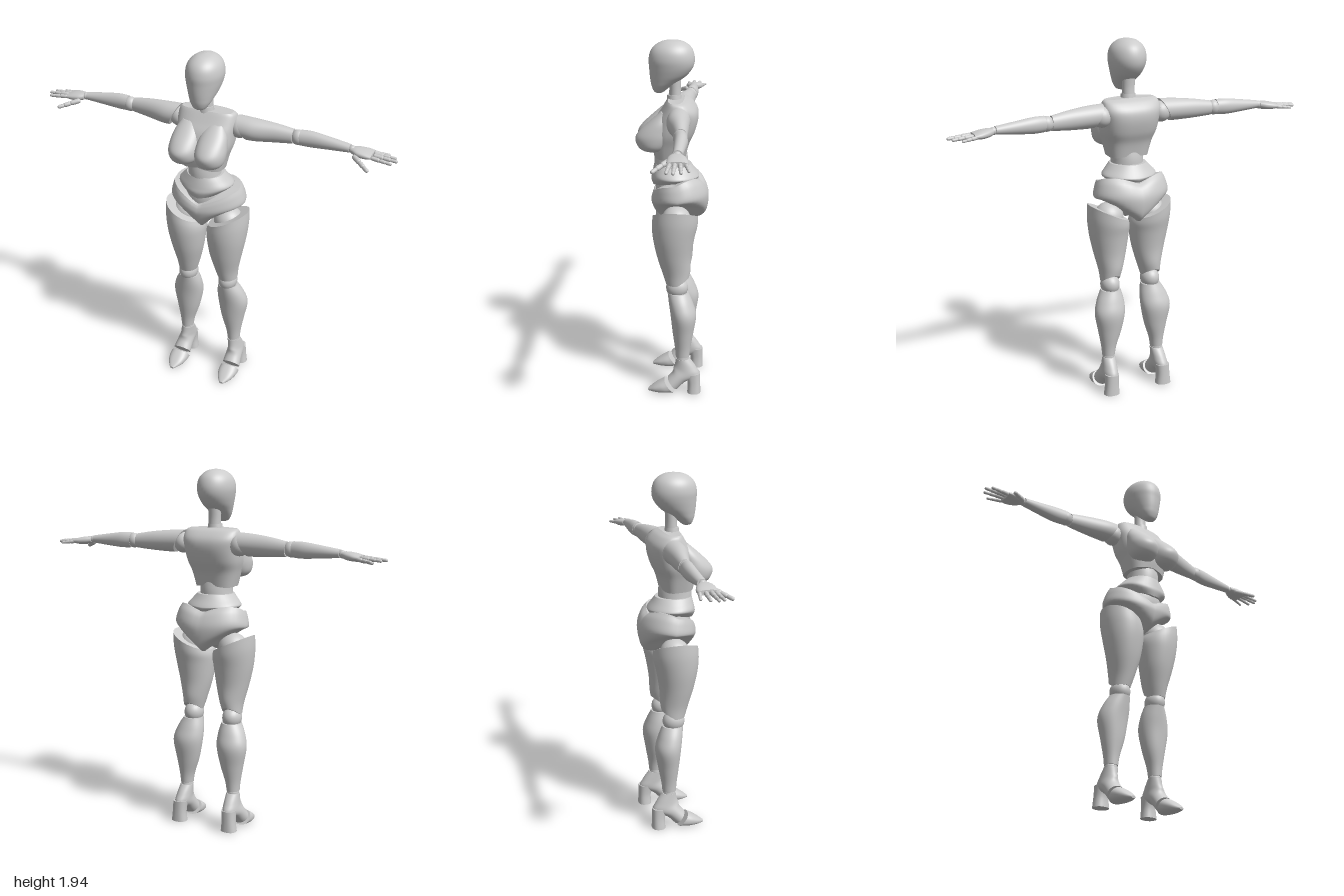
import * as THREE from 'three';

const material = new THREE.MeshStandardMaterial({ color: 0xcccccc });

// Smooth skin through elliptical cross-sections, listed from bottom to top.
// Section: [y, cx, cz, rx, rz, side, back, tilt]
//   side / back raise the ring's edge there, tilt turns it about x.
//   fold raises both sides alike, power < 1 makes the rings squarer.
function loft(sections, { fold = false, power = 1, seg = 40, sub = 5 } = {}) {
  const rows = [];
  const at = (i, k) => sections[Math.max(0, Math.min(sections.length - 1, i))][k] ?? 0;
  for (let i = 0; i < sections.length - 1; i++) {
    const last = i === sections.length - 2;
    for (let s = 0; s < sub + (last ? 1 : 0); s++) {
      const t = s / sub, row = [];
      for (let k = 0; k < 8; k++) {
        const a = at(i - 1, k), b = at(i, k), c = at(i + 1, k), d = at(i + 2, k);
        row.push(b + 0.5 * t * (c - a + t * (2 * a - 5 * b + 4 * c - d + t * (3 * (b - c) + d - a))));
      }
      rows.push(row);
    }
  }
  const round = (v) => Math.sign(v) * Math.abs(v) ** power;
  const ring = ([y, cx, cz, rx, rz, side, back, tilt]) => {
    const points = [];
    for (let j = 0; j < seg; j++) {
      const angle = (j / seg) * Math.PI * 2;
      const c = round(Math.cos(angle)), s = round(Math.sin(angle));
      points.push([
        cx + rx * c,
        y + side * (fold ? Math.abs(c) : c) + back * Math.max(0, -s) + rz * s * Math.sin(tilt),
        cz + rz * s * Math.cos(tilt)
      ]);
    }
    return points;
  };
  const pos = [], index = [];
  rows.forEach((row) => pos.push(...ring(row).flat()));
  for (let i = 0; i < rows.length - 1; i++) {
    for (let j = 0; j < seg; j++) {
      const a = i * seg + j, b = i * seg + (j + 1) % seg;
      index.push(a, a + seg, b, b, a + seg, b + seg);
    }
  }
  // End caps have their own vertices, so their edges stay sharp
  for (const top of [false, true]) {
    const points = ring(rows[top ? rows.length - 1 : 0]);
    const start = pos.length / 3;
    const middle = [0, 1, 2].map((k) => points.reduce((sum, p) => sum + p[k], 0) / seg);
    pos.push(...points.flat(), ...middle);
    for (let j = 0; j < seg; j++) {
      const a = start + j, b = start + (j + 1) % seg;
      index.push(start + seg, top ? b : a, top ? a : b);
    }
  }
  const geo = new THREE.BufferGeometry();
  geo.setAttribute('position', new THREE.Float32BufferAttribute(pos, 3));
  geo.setIndex(index);
  geo.computeVertexNormals();
  return geo;
}

// Section from front and back z: [y, zFront, zBack, rx, side, back]
const torso = (list, power) => loft(
  list.map(([y, f, b, rx, side = 0, back = 0]) => [y, 0, (f + b) / 2, rx, (f - b) / 2, side, back]),
  { fold: true, power });

// Section from all four edges: [y, xInner, xOuter, zFront, zBack, side, back]
const leg = (list) => loft(list.map(([y, i, o, f, b, side = 0, back = 0]) =>
  [y, (i + o) / 2, (f + b) / 2, (o - i) / 2, (f - b) / 2, side, back]));

// Section along the arm: [x, y, z, ry, rz, slant]
const arm = (list, options) => loft(list.map(([x, y, z, ry, rz, slant = 0]) =>
  [x, -y, z, ry, rz, slant]), options).rotateZ(-Math.PI / 2);

const ball = (x, y, z, rx, ry = rx, rz = rx) =>
  new THREE.SphereGeometry(1, 28, 20).scale(rx, ry, rz).translate(x, y, z);

// Rounded finger bone between two points
function bone(a, b, r) {
  const dir = b.clone().sub(a), mid = a.clone().add(b).multiplyScalar(0.5);
  const turn = new THREE.Quaternion().setFromUnitVectors(new THREE.Vector3(0, 1, 0), dir.clone().normalize());
  return new THREE.CapsuleGeometry(r, Math.max(0.001, dir.length() - 1.3 * r), 4, 12)
    .applyQuaternion(turn).translate(mid.x, mid.y, mid.z);
}

function mirrored(geo) {
  const copy = geo.clone().scale(-1, 1, 1), ix = copy.index.array;
  for (let i = 0; i < ix.length; i += 3) [ix[i], ix[i + 1]] = [ix[i + 1], ix[i]];
  copy.computeVertexNormals();
  return copy;
}

export function createModel() {
  const model = new THREE.Group();
  model.name = 'jointedMannequin';
  const add = (name, geo) => {
    const mesh = new THREE.Mesh(geo, material);
    mesh.name = name;
    model.add(mesh);
  };
  const pair = (name, geo) => {
    add(name + 'Left', geo);
    add(name + 'Right', mirrored(geo));
  };

  // Head and neck
  add('head', torso([
    [1.663, 0.085, 0.06, 0.012], [1.672, 0.1, 0.045, 0.033], [1.70, 0.112, 0.01, 0.053],
    [1.73, 0.118, -0.035, 0.067], [1.76, 0.122, -0.075, 0.079], [1.80, 0.125, -0.104, 0.091],
    [1.84, 0.127, -0.113, 0.097], [1.88, 0.118, -0.106, 0.091], [1.91, 0.096, -0.087, 0.073],
    [1.932, 0.058, -0.052, 0.043], [1.94, 0.012, -0.01, 0.008]]));
  add('neck', torso([[1.64, 0.022, -0.042, 0.034], [1.69, 0.02, -0.04, 0.034], [1.75, 0.024, -0.044, 0.036]]));
  add('neckBase', torso([[1.61, 0.035, -0.048, 0.044], [1.655, 0.03, -0.042, 0.038]]));

  // Chest
  add('chest', torso([
    [1.345, 0.1, -0.07, 0.112, -0.02, -0.01], [1.40, 0.112, -0.088, 0.132], [1.46, 0.11, -0.115, 0.15],
    [1.53, 0.09, -0.133, 0.158], [1.58, 0.06, -0.128, 0.163], [1.62, 0.036, -0.095, 0.155],
    [1.638, 0.025, -0.06, 0.14, -0.005]], 0.75));
  pair('breast', loft([
    [1.366, 0.075, 0.1, 0.02, 0.02], [1.376, 0.075, 0.104, 0.052, 0.054], [1.40, 0.075, 0.105, 0.073, 0.077],
    [1.44, 0.075, 0.1, 0.081, 0.093], [1.48, 0.075, 0.086, 0.079, 0.083], [1.53, 0.075, 0.06, 0.068, 0.057],
    [1.58, 0.075, 0.035, 0.04, 0.024]]));

  // Waist and pelvis
  add('waistJoint', torso([[1.25, 0.1, -0.08, 0.09], [1.31, 0.1, -0.08, 0.086], [1.37, 0.09, -0.07, 0.088]]));
  add('belly', torso([
    [1.168, 0.107, -0.13, 0.1, 0.015, 0.03], [1.20, 0.116, -0.14, 0.137, 0.01, 0.015],
    [1.228, 0.112, -0.136, 0.15], [1.258, 0.106, -0.115, 0.125], [1.285, 0.1, -0.098, 0.1]]));
  add('hipJoint', torso([[1.08, 0.085, -0.1, 0.11], [1.15, 0.092, -0.105, 0.118], [1.22, 0.085, -0.1, 0.11]]));
  add('pelvis', torso([
    [0.968, 0.03, -0.11, 0.04, 0.04, 0.015], [0.985, 0.065, -0.155, 0.11, 0.085, 0.01],
    [1.025, 0.1, -0.183, 0.18, 0.08, 0.01], [1.075, 0.116, -0.192, 0.21, 0.045, 0.04],
    [1.105, 0.113, -0.17, 0.2, 0.065, 0.065], [1.12, 0.103, -0.14, 0.186, 0.083, 0.073]]));

  // Legs
  pair('hipBall', ball(0.125, 1.0, -0.025, 0.08));
  pair('thigh', leg([
    [0.638, 0.07, 0.175, 0.03, -0.095, 0, 0.04], [0.70, 0.052, 0.182, 0.05, -0.102, 0, 0.02],
    [0.80, 0.027, 0.205, 0.08, -0.106], [0.90, 0.012, 0.226, 0.1, -0.122],
    [0.97, 0.01, 0.237, 0.105, -0.138, 0.025], [1.025, 0.018, 0.236, 0.1, -0.142, 0.05]]));
  pair('knee', ball(0.122, 0.615, -0.03, 0.052, 0.058, 0.06));
  pair('calf', leg([
    [0.215, 0.114, 0.184, -0.025, -0.1], [0.27, 0.104, 0.19, -0.02, -0.106],
    [0.36, 0.075, 0.207, -0.007, -0.122], [0.46, 0.055, 0.225, 0.004, -0.136],
    [0.53, 0.055, 0.208, 0.014, -0.117], [0.588, 0.067, 0.176, 0.022, -0.092]]));
  pair('ankle', ball(0.149, 0.205, -0.063, 0.033));

  // Heeled feet: toe cap, instep and heel block
  pair('toe', loft([
    [0.01, 0.16, 0.128, 0.012, 0.006, 0, 0, 1.5], [0.021, 0.16, 0.092, 0.038, 0.02, 0, 0, 1.35],
    [0.031, 0.16, 0.048, 0.052, 0.035, 0, 0, 1.05], [0.041, 0.16, 0.01, 0.053, 0.046, 0, 0, 0.92]],
  { power: 0.85 }));
  pair('foot', loft([
    [0.055, 0.16, -0.008, 0.051, 0.043, 0, 0, 0.9], [0.094, 0.158, -0.045, 0.046, 0.046, 0, 0, 0.6],
    [0.125, 0.155, -0.084, 0.042, 0.074, 0, 0, 0.3], [0.16, 0.152, -0.079, 0.039, 0.059, 0, 0, 0.12],
    [0.203, 0.149, -0.064, 0.036, 0.037]]));
  pair('heel', loft([
    [0.005, 0.16, -0.127, 0.044, 0.037], [0.06, 0.159, -0.127, 0.038, 0.035],
    [0.12, 0.156, -0.12, 0.039, 0.041]], { power: 0.85 }));

  // Arms
  pair('shoulder', ball(0.172, 1.55, -0.045, 0.055, 0.056, 0.055));
  pair('upperArm', arm([
    [0.195, 1.557, -0.04, 0.061, 0.06, 0.03], [0.26, 1.555, -0.043, 0.059, 0.057, 0.012],
    [0.36, 1.552, -0.057, 0.051, 0.043], [0.46, 1.548, -0.068, 0.039, 0.031]]));
  pair('elbow', ball(0.485, 1.548, -0.067, 0.038, 0.04, 0.036));
  pair('forearm', arm([
    [0.498, 1.549, -0.068, 0.041, 0.034], [0.56, 1.548, -0.074, 0.042, 0.034],
    [0.66, 1.545, -0.074, 0.032, 0.029], [0.758, 1.542, -0.072, 0.021, 0.024]]));
  pair('wrist', ball(0.768, 1.54, -0.071, 0.02));

  // Hands
  pair('palm', arm([
    [0.772, 1.538, -0.07, 0.016, 0.026], [0.80, 1.534, -0.071, 0.021, 0.042],
    [0.84, 1.53, -0.076, 0.02, 0.05], [0.875, 1.528, -0.078, 0.013, 0.048]], { power: 0.85 }));
  const fingers = {
    indexFinger: [[0.875, 1.527, -0.043], [0.98, 1.518, -0.034], 0.0105],
    middleFinger: [[0.88, 1.53, -0.067], [1.0, 1.522, -0.066], 0.011],
    ringFinger: [[0.876, 1.529, -0.091], [0.985, 1.521, -0.101], 0.0105],
    littleFinger: [[0.86, 1.526, -0.115], [0.945, 1.517, -0.135], 0.0095],
    thumb: [[0.79, 1.522, -0.035], [0.885, 1.492, 0.038], 0.0135]
  };
  for (const [name, [from, to, r]] of Object.entries(fingers)) {
    const a = new THREE.Vector3(...from), b = new THREE.Vector3(...to);
    const stops = [0, 0.42, 0.72, 1].map((t) => a.clone().lerp(b, t));
    for (let i = 0; i < 3; i++) pair(name + (i + 1), bone(stops[i], stops[i + 1], r * (1 - 0.12 * i)));
  }
  return model;
}
